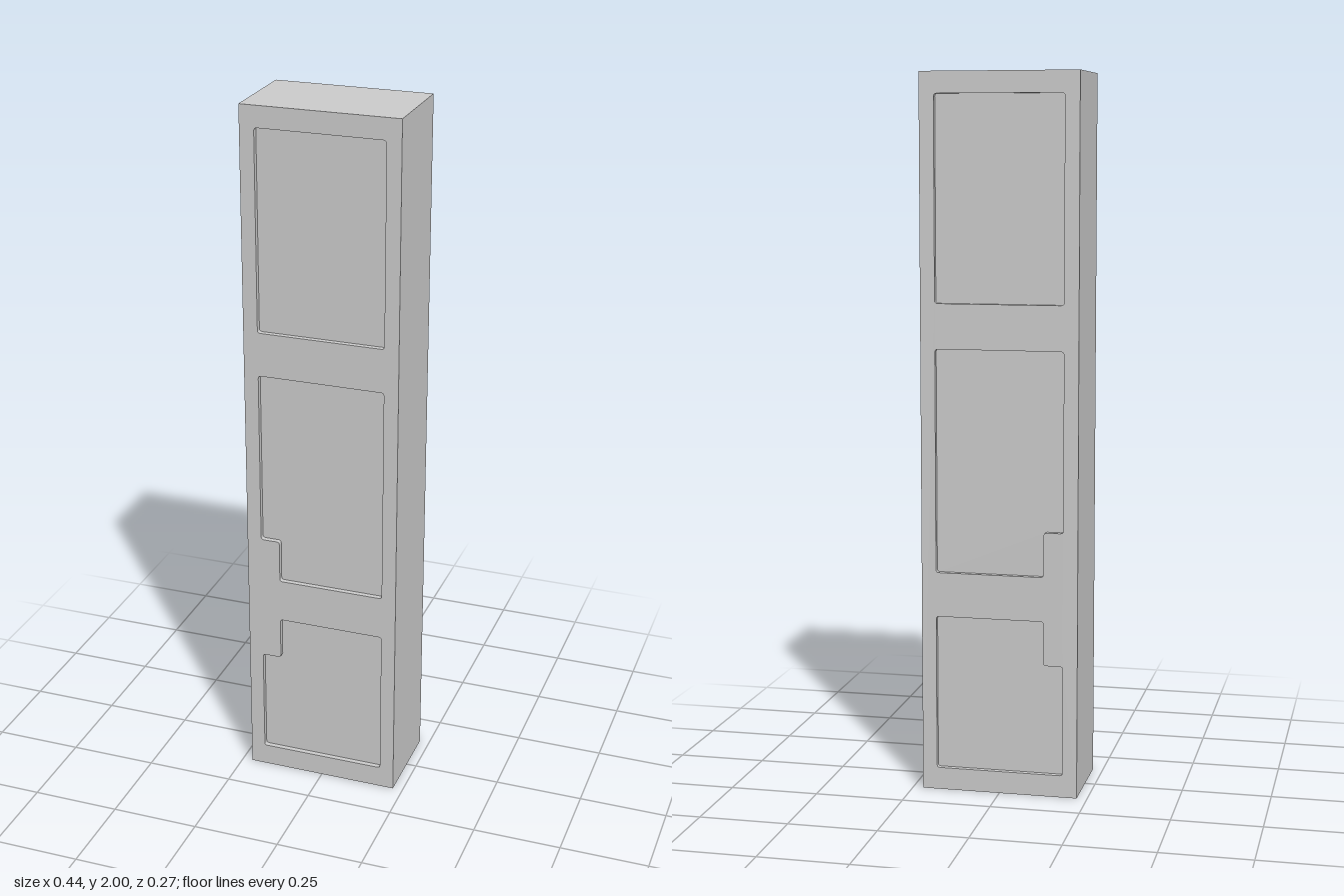
import * as THREE from 'three';

const W = 0.221, H = 2, D = 0.133;     // half width, height, half depth
const RECESS = 0.015, RADIUS = 0.008;  // panel depth and corner rounding
const EDGE = 0.18, STEP = -0.125;      // panel half width and notch position

const outline = [[-W, 0], [W, 0], [W, H], [-W, H]].map(p => new THREE.Vector2(...p));

// Corners of the three recessed panels; the lower two are notched on the -x side
const panels = {
  upperPanel: [[-EDGE, 1.375], [EDGE, 1.375], [EDGE, 1.9405], [-EDGE, 1.9405]],
  middlePanel: [[STEP, 0.625], [EDGE, 0.625], [EDGE, 1.25], [-EDGE, 1.25], [-EDGE, 0.75], [STEP, 0.75]],
  lowerPanel: [[-EDGE, 0.0625], [EDGE, 0.0625], [EDGE, 0.5], [STEP, 0.5], [STEP, 0.375], [-EDGE, 0.375]],
};

// Counter-clockwise contour with slightly rounded corners; flip mirrors it in x
function roundedContour(corners, flip) {
  const pts = corners.map(([x, y]) => new THREE.Vector2(x * flip, y));
  if (flip < 0) pts.reverse();
  const shape = new THREE.Shape();
  const toward = (a, b) => b.clone().sub(a).setLength(RADIUS).add(a);
  pts.forEach((p, i) => {
    const start = toward(p, pts[(i + pts.length - 1) % pts.length]);
    const end = toward(p, pts[(i + 1) % pts.length]);
    if (i === 0) shape.moveTo(start.x, start.y);
    else shape.lineTo(start.x, start.y);
    shape.quadraticCurveTo(p.x, p.y, end.x, end.y);
  });
  return shape.getPoints(3);
}

// Flat-shaded wall along a closed contour, from z0 up to z1
function wallGeometry(points, z0, z1) {
  const pos = [];
  points.forEach((p, i) => {
    const q = points[(i + 1) % points.length];
    if (p.distanceTo(q) < 1e-5) return;
    pos.push(p.x, p.y, z0, q.x, q.y, z0, q.x, q.y, z1);
    pos.push(p.x, p.y, z0, q.x, q.y, z1, p.x, p.y, z1);
  });
  const geo = new THREE.BufferGeometry();
  geo.setAttribute('position', new THREE.Float32BufferAttribute(pos, 3));
  geo.computeVertexNormals();
  return geo;
}

export function createModel() {
  const model = new THREE.Group();
  model.name = 'panelledSlab';
  const material = new THREE.MeshStandardMaterial({ color: 0xcccccc });
  const add = (parent, name, geometry) => {
    const mesh = new THREE.Mesh(geometry, material);
    mesh.name = name;
    parent.add(mesh);
    return mesh;
  };

  // Sides, top and bottom
  add(model, 'outerSides', wallGeometry(outline, -D, D));

  // Front and back faces with their recessed panels
  for (const [name, flip] of [['front', 1], ['back', -1]]) {
    const face = new THREE.Group();
    face.name = name + 'Face';
    const frame = new THREE.Shape(outline);
    for (const [panelName, corners] of Object.entries(panels)) {
      const contour = roundedContour(corners, flip);
      frame.holes.push(new THREE.Path(contour));
      const floor = add(face, panelName, new THREE.ShapeGeometry(new THREE.Shape(contour)));
      floor.position.z = D - RECESS;
      add(face, panelName + 'Rim', wallGeometry([...contour].reverse(), D - RECESS, D));
    }
    add(face, name + 'Frame', new THREE.ShapeGeometry(frame)).position.z = D;
    if (flip < 0) face.rotation.y = Math.PI;
    model.add(face);
  }
  return model;
}
